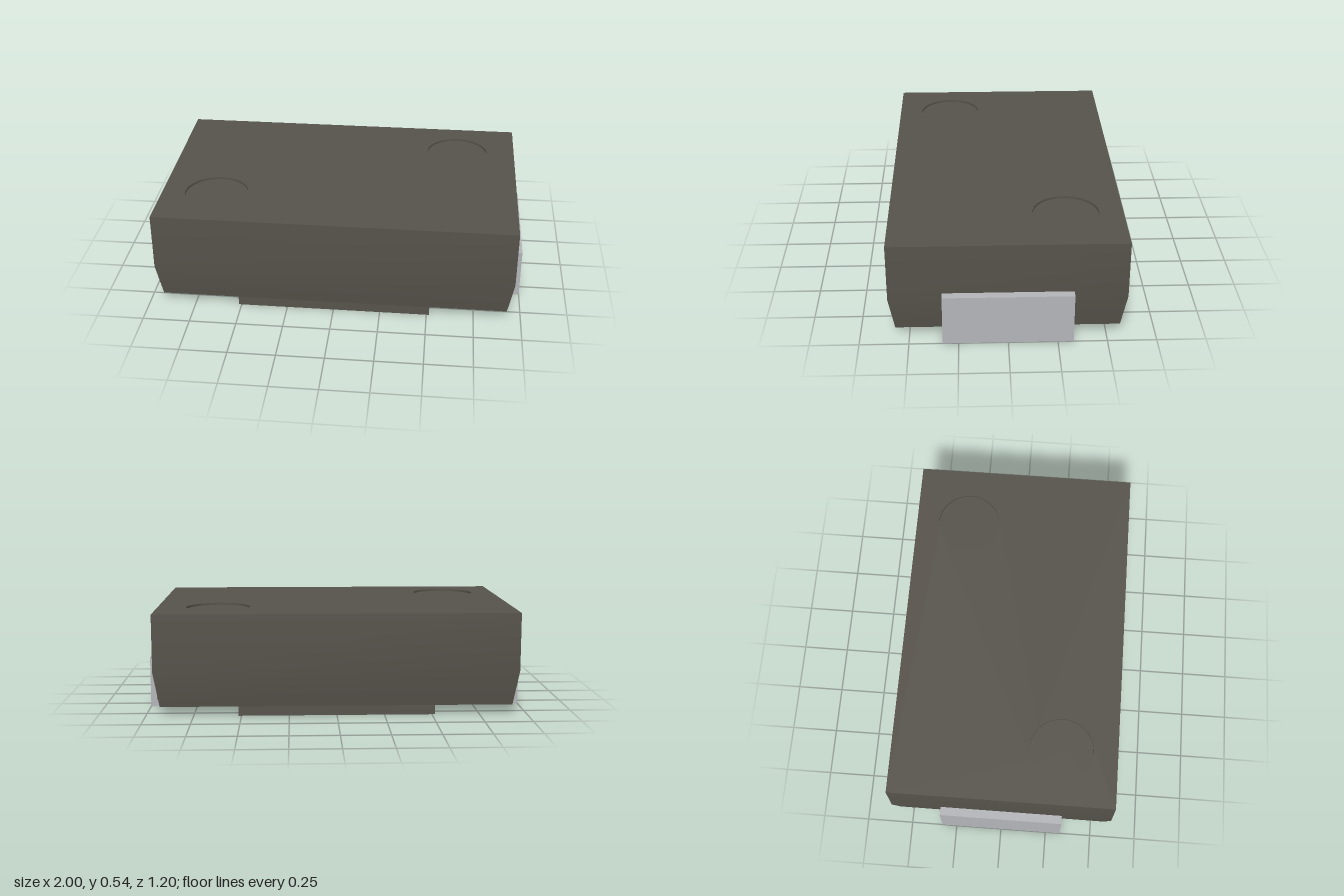
import * as THREE from 'three';
import { toCreasedNormals } from 'three/addons/utils/BufferGeometryUtils.js';

const W = 0.955, D = 0.6, TOP = 0.54, WAIST = 0.235, BASE = 0.05;
const DIMPLE_R = 0.17, DIMPLE_DEPTH = 0.012;
const dimples = [[0.63, -0.305], [-0.66, 0.3]]; // x, z

export function createModel() {
  const group = new THREE.Group();
  const plastic = new THREE.MeshStandardMaterial({ color: 0x57534c });
  plastic.name = 'dark moulded plastic';
  const metal = new THREE.MeshStandardMaterial({ color: 0xb4b5b9 });
  metal.name = 'tinned metal';

  const add = (name, geometry, material) => {
    const mesh = new THREE.Mesh(geometry, material);
    mesh.name = name;
    group.add(mesh);
    return mesh;
  };

  // Body shell: box with a waist row and a narrowed base, left open on top
  const box = new THREE.BoxGeometry(2 * W, 2, 2 * D, 1, 2, 1);
  const open = box.groups.find((g) => g.materialIndex === 2);
  box.setIndex(Array.from(box.index.array).filter((_, i) => i < open.start || i >= open.start + open.count));
  box.clearGroups();
  const p = box.attributes.position;
  for (let i = 0; i < p.count; i++) {
    const y = p.getY(i);
    if (y < -0.5) {
      p.setX(i, Math.sign(p.getX(i)) * 0.925);
      p.setZ(i, Math.sign(p.getZ(i)) * 0.57);
    }
    p.setY(i, y > 0.5 ? TOP : y < -0.5 ? BASE : WAIST);
  }
  add('body', toCreasedNormals(box, 0.4), plastic);

  // Top face with round openings
  const face = new THREE.Shape([
    new THREE.Vector2(-W, -D), new THREE.Vector2(W, -D),
    new THREE.Vector2(W, D), new THREE.Vector2(-W, D),
  ]);
  for (const [x, z] of dimples) {
    face.holes.push(new THREE.Path().absarc(x, -z, DIMPLE_R, 0, Math.PI * 2, true));
  }
  add('topFace', new THREE.ShapeGeometry(face, 32).rotateX(-Math.PI / 2).translate(0, TOP, 0), plastic);

  // Shallow mould dimples
  const dish = toCreasedNormals(new THREE.LatheGeometry([
    new THREE.Vector2(DIMPLE_R, 0),
    new THREE.Vector2(DIMPLE_R, -DIMPLE_DEPTH),
    new THREE.Vector2(0, -DIMPLE_DEPTH),
  ], 64), 0.5);
  for (const [x, z] of dimples) add('dimple', dish, plastic).position.set(x, TOP, z);

  // Raised pad under the body
  add('basePad', new THREE.BoxGeometry(1.03, 0.06, 1.14).translate(0, 0.03, 0), plastic);

  // Folded terminals: tab into the body, upright strip, foot
  const profile = new THREE.Shape([
    [0.575, 0], [1, 0], [1, 0.27], [0.9, 0.27],
    [0.9, 0.238], [0.968, 0.238], [0.968, 0.032], [0.575, 0.032],
  ].map(([x, y]) => new THREE.Vector2(x, y)));
  const strip = new THREE.ExtrudeGeometry(profile, { depth: 0.66, bevelEnabled: false }).translate(0, 0, -0.33);
  add('leftTerminal', strip, metal);
  add('rightTerminal', strip, metal).rotation.y = Math.PI;

  return group;
}
